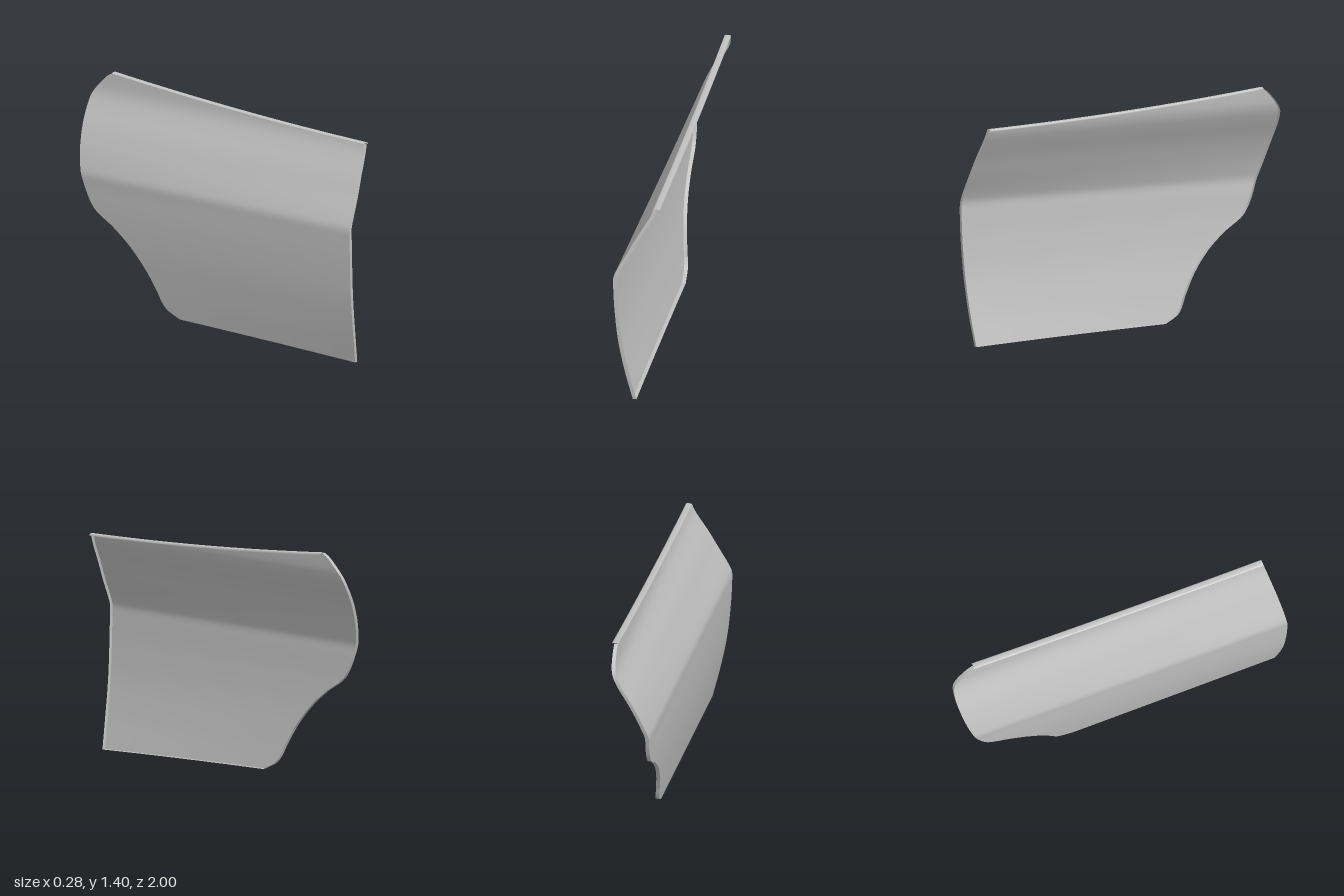
import * as THREE from 'three';

// Smooth curve through [input, output] pairs
function curve(pts) {
  const slope = pts.map((p, i) => {
    const a = pts[Math.max(i - 1, 0)], b = pts[Math.min(i + 1, pts.length - 1)];
    return (b[1] - a[1]) / (b[0] - a[0]);
  });
  return (v) => {
    let i = 0;
    while (i < pts.length - 2 && v > pts[i + 1][0]) i++;
    const [x0, y0] = pts[i], [x1, y1] = pts[i + 1], h = x1 - x0;
    const t = THREE.MathUtils.clamp((v - x0) / h, 0, 1), s = 1 - t;
    return y0 * (1 + 2 * t) * s * s + slope[i] * h * t * s * s
      + y1 * t * t * (3 - 2 * t) - slope[i + 1] * h * t * t * s;
  };
}

// Outer skin: x by height, and how far it drifts inward towards the rear
const skinX = curve([[0, -0.033], [0.2, -0.078], [0.4, -0.113], [0.6, -0.132], [0.77, -0.14], [0.83, -0.139],
  [0.88, -0.12], [1, -0.058], [1.1, -0.008], [1.2, 0.048], [1.25, 0.073], [1.3, 0.088], [1.4, 0.1]]);
const drift = curve([[0, 0.025], [0.3, 0.045], [0.6, 0.045], [0.83, 0.04], [1, 0.012], [1.2, 0.006], [1.4, 0]]);

// Front and rear edges: z by height
const frontZ = curve([[0, 0.963], [0.2, 0.98], [0.5, 0.995], [0.8, 1], [1, 0.985], [1.285, 0.945]]);
const rearZ = curve([[0.04, -0.29], [0.09, -0.38], [0.2, -0.44], [0.315, -0.505], [0.44, -0.605], [0.54, -0.72],
  [0.605, -0.82], [0.645, -0.86], [0.72, -0.9], [0.82, -0.935], [0.95, -0.97], [1.1, -0.995], [1.2, -1],
  [1.27, -0.985], [1.37, -0.9], [1.395, -0.86]]);

// Point on the panel: u runs front to rear, t bottom to top
function panelPoint(u, t) {
  const yf = 1.285 * t, yr = 0.04 + 1.355 * t;
  const sag = 4 * u * (1 - u) * (0.02 * t ** 4 - 0.003);
  const y = THREE.MathUtils.lerp(yf, yr, u) - sag;
  const z = THREE.MathUtils.lerp(frontZ(yf), rearZ(yr), u);
  return new THREE.Vector3(skinX(y) + drift(y) * (1 - z) / 2, Math.max(y, 0), z);
}

// Smooth sheet from a grid of points
function sheet(name, rows, material) {
  const n = rows[0].length, index = [];
  for (let i = 0; i < rows.length - 1; i++) {
    for (let j = 0; j < n - 1; j++) {
      const a = i * n + j, b = a + n;
      index.push(a, a + 1, b, b, a + 1, b + 1);
    }
  }
  const geometry = new THREE.BufferGeometry().setFromPoints(rows.flat());
  geometry.setIndex(index);
  geometry.computeVertexNormals();
  const mesh = new THREE.Mesh(geometry, material);
  mesh.name = name;
  return mesh;
}

export function createModel() {
  const grey = new THREE.MeshStandardMaterial({ color: 0xc0c0c0, side: THREE.DoubleSide });
  grey.name = 'panel grey';
  const group = new THREE.Group();
  group.name = 'doorPanel';
  const ROWS = 100, COLS = 28;
  const steps = (n, f) => Array.from({ length: n + 1 }, (_, i) => f(i / n));

  // Main curved skin
  group.add(sheet('outerSkin', steps(ROWS, (t) => steps(COLS, (u) => panelPoint(u, t))), grey));

  // Folded flanges: each edge is swept along a short [dx, dy] section
  const hem = [[0, 0], [0.022, 0]];
  const lip = [[0, 0], [0.009, 0.004], [0.03, 0.004], [0.037, 0], [0.037, -0.008]];
  const flange = (name, edge, section) =>
    group.add(sheet(name, section.map(([dx, dy]) => edge.map((p) => new THREE.Vector3(p.x + dx, p.y + dy, p.z))), grey));
  flange('frontFlange', steps(ROWS, (t) => panelPoint(0, t)), hem);
  flange('rearFlange', steps(ROWS, (t) => panelPoint(1, t)), hem);
  flange('bottomFlange', steps(COLS, (u) => panelPoint(u, 0)), hem);
  flange('topLip', steps(COLS, (u) => panelPoint(u, 1)), lip);
  return group;
}
